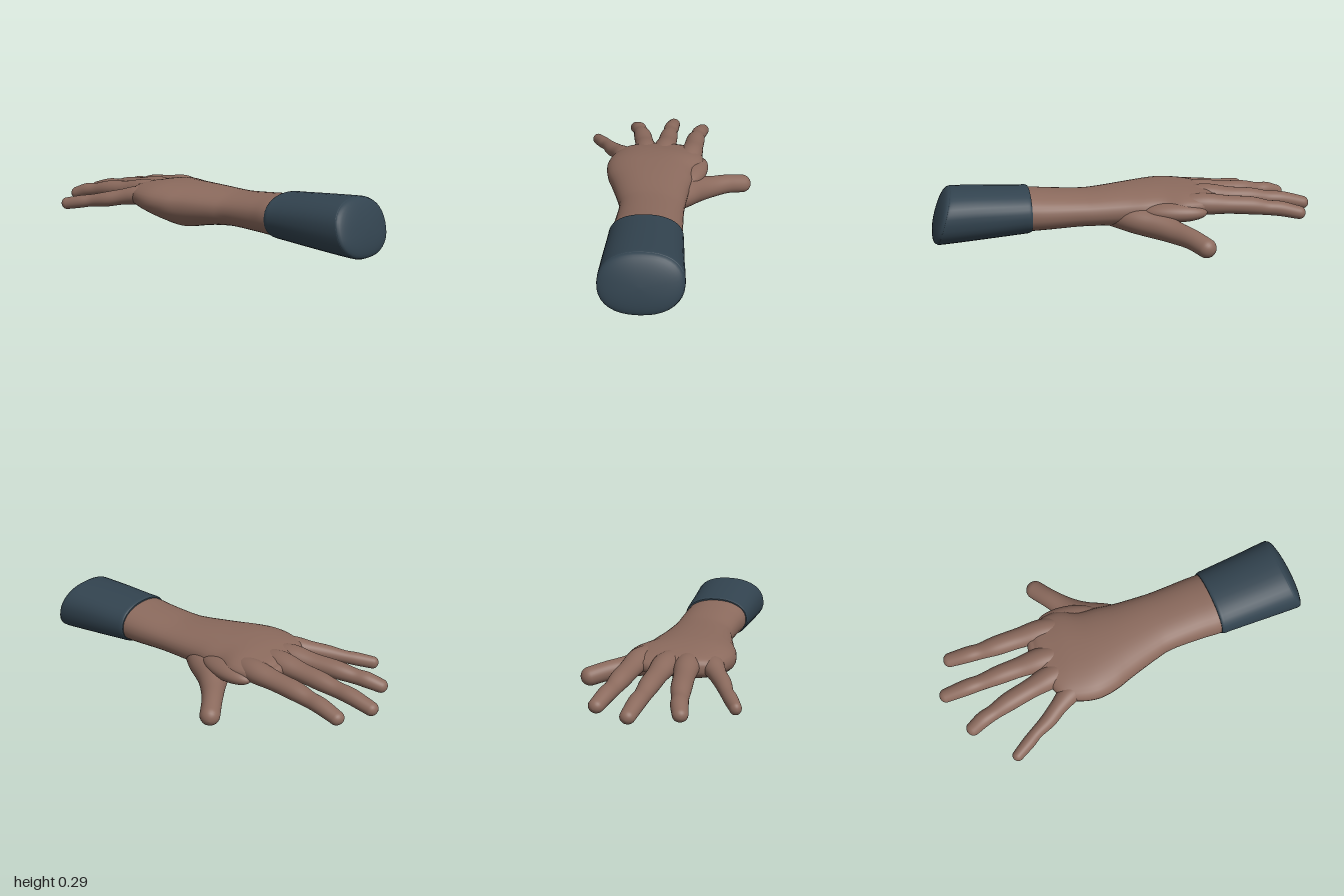
import * as THREE from 'three';

const SIDES = 36;

// Skin a list of rings; end caps use their own vertices so edges stay crisp
function skin(rings) {
  const pos = [], idx = [];
  const add = (p) => pos.push(p.x, p.y, p.z) / 3 - 1;
  rings.forEach((r) => r.forEach(add));
  for (let i = 0; i < rings.length - 1; i++) {
    for (let j = 0; j < SIDES; j++) {
      const k = (j + 1) % SIDES;
      const a = i * SIDES + j, b = i * SIDES + k;
      idx.push(a, b, a + SIDES, b, b + SIDES, a + SIDES);
    }
  }
  [rings[0], rings[rings.length - 1]].forEach((ring, end) => {
    const mid = new THREE.Vector3();
    ring.forEach((p) => mid.addScaledVector(p, 1 / SIDES));
    const c = add(mid), first = c + 1;
    ring.forEach(add);
    for (let j = 0; j < SIDES; j++) {
      const a = first + j, b = first + (j + 1) % SIDES;
      if (end) idx.push(c, a, b); else idx.push(c, b, a);
    }
  });
  const g = new THREE.BufferGeometry();
  g.setAttribute('position', new THREE.Float32BufferAttribute(pos, 3));
  g.setIndex(idx);
  g.computeVertexNormals();
  return g;
}

// Smooth rings through sections [x, y, z, half width, half height, squareness]
function loftRings(sections, { fixed = null, tip = false } = {}) {
  const spline = (pick) => new THREE.CatmullRomCurve3(sections.map(pick), false, 'catmullrom', 0.5);
  const path = spline((s) => new THREE.Vector3(s[0], s[1], s[2]));
  const size = spline((s) => new THREE.Vector3(s[3], s[4], s[5] ?? 2));
  const rings = [];
  const ring = (c, t, r, scale = 1) => {
    const side = new THREE.Vector3(0, 1, 0).cross(t).normalize();
    const up = t.clone().cross(side);
    const out = [];
    for (let j = 0; j < SIDES; j++) {
      const a = (j / SIDES) * Math.PI * 2;
      const ca = Math.cos(a), sa = Math.sin(a);
      const u = Math.sign(ca) * Math.abs(ca) ** (2 / r.z) * r.x * scale;
      const v = Math.sign(sa) * Math.abs(sa) ** (2 / r.z) * r.y * scale;
      out.push(c.clone().addScaledVector(side, u).addScaledVector(up, v));
    }
    rings.push(out);
  };
  const n = (sections.length - 1) * 6;
  for (let i = 0; i <= n; i++) {
    ring(path.getPoint(i / n), fixed || path.getTangent(i / n), size.getPoint(i / n));
  }
  // Rounded end
  if (tip) {
    const c = path.getPoint(1), t = fixed || path.getTangent(1), r = size.getPoint(1);
    for (let i = 1; i <= 7; i++) {
      const a = (i / 7) * 1.53;
      ring(c.clone().addScaledVector(t, Math.sin(a) * Math.min(r.x, r.y)), t, r, Math.cos(a));
    }
  }
  return rings;
}

export function createModel() {
  const skinTone = new THREE.MeshStandardMaterial({ color: 0x8b6a5d });
  skinTone.name = 'skin';
  const cloth = new THREE.MeshStandardMaterial({ color: 0x32434f });
  cloth.name = 'sleeveCloth';
  const group = new THREE.Group();
  group.name = 'handAndSleeve';
  const part = (name, geometry, material) => {
    const m = new THREE.Mesh(geometry, material);
    m.name = name;
    group.add(m);
    return m;
  };

  // Forearm, wrist and palm in one smooth body
  const body = loftRings([
    [0.10, 0.157, 0.60, 0.165, 0.102, 2.2],
    [0.088, 0.158, 0.50, 0.172, 0.105, 2.2],
    [0.08, 0.156, 0.40, 0.170, 0.099, 2.2],
    [0.058, 0.154, 0.24, 0.167, 0.090, 2.2],
    [0.038, 0.153, 0.15, 0.177, 0.091, 2.2],
    [0.0, 0.155, 0.0, 0.205, 0.098, 2.2],
    [-0.025, 0.161, -0.10, 0.230, 0.096, 2.2],
    [-0.04, 0.166, -0.20, 0.242, 0.092, 2.3],
    [-0.022, 0.172, -0.30, 0.252, 0.080, 2.4],
    [-0.012, 0.176, -0.38, 0.228, 0.064, 2.6],
    [0.018, 0.180, -0.435, 0.170, 0.049, 2.6],
    [0.03, 0.180, -0.465, 0.130, 0.034, 2.4],
  ], { fixed: new THREE.Vector3(0, 0, -1), tip: true });
  // Fleshy heel of the palm below the little finger
  body.forEach((r) => r.forEach((p) => {
    const under = THREE.MathUtils.clamp((0.16 - p.y) / 0.09, 0, 1);
    p.y -= 0.032 * under * Math.exp(-(((p.x + 0.12) / 0.12) ** 2) - ((p.z + 0.09) / 0.14) ** 2);
  }));
  part('forearmAndPalm', skin(body), skinTone);

  // Web of flesh between thumb and forefinger
  const web = part('thumbWeb', new THREE.SphereGeometry(1, 32, 20), skinTone);
  web.scale.set(0.072, 0.05, 0.17);
  web.position.set(0.185, 0.157, -0.25);
  web.rotation.y = -0.08;

  // Fingers start as knuckles inside the palm
  const fingers = {
    littleFinger: [
      [-0.16, 0.175, -0.23, 0.050, 0.040], [-0.217, 0.176, -0.335, 0.057, 0.049],
      [-0.272, 0.163, -0.41, 0.045, 0.042], [-0.325, 0.148, -0.475, 0.041, 0.040],
      [-0.372, 0.136, -0.55, 0.033, 0.033], [-0.41, 0.127, -0.60, 0.034, 0.034],
      [-0.460, 0.113, -0.668, 0.029, 0.032]],
    ringFinger: [
      [-0.07, 0.183, -0.28, 0.052, 0.042], [-0.112, 0.187, -0.41, 0.064, 0.055],
      [-0.148, 0.176, -0.53, 0.053, 0.046], [-0.187, 0.166, -0.655, 0.050, 0.045],
      [-0.218, 0.152, -0.74, 0.041, 0.038], [-0.240, 0.145, -0.80, 0.042, 0.039],
      [-0.270, 0.125, -0.862, 0.037, 0.034]],
    middleFinger: [
      [-0.005, 0.183, -0.28, 0.052, 0.044], [-0.011, 0.190, -0.43, 0.066, 0.056],
      [-0.022, 0.179, -0.56, 0.054, 0.046], [-0.034, 0.168, -0.675, 0.050, 0.046],
      [-0.045, 0.154, -0.77, 0.042, 0.039], [-0.052, 0.147, -0.85, 0.043, 0.039],
      [-0.061, 0.122, -0.964, 0.037, 0.034]],
    indexFinger: [
      [0.13, 0.180, -0.26, 0.055, 0.045], [0.142, 0.186, -0.40, 0.064, 0.056],
      [0.136, 0.178, -0.53, 0.055, 0.047], [0.127, 0.168, -0.655, 0.052, 0.046],
      [0.123, 0.154, -0.74, 0.043, 0.039], [0.123, 0.147, -0.81, 0.043, 0.039],
      [0.125, 0.125, -0.908, 0.038, 0.034]],
    thumb: [
      [0.08, 0.125, 0.08, 0.070, 0.060], [0.14, 0.114, -0.05, 0.092, 0.074],
      [0.198, 0.097, -0.16, 0.083, 0.073], [0.278, 0.080, -0.245, 0.061, 0.058],
      [0.36, 0.070, -0.322, 0.051, 0.051], [0.436, 0.050, -0.386, 0.050, 0.049]],
  };
  for (const [name, sections] of Object.entries(fingers)) {
    part(name, skin(loftRings(sections, { tip: true })), skinTone);
  }

  // Sleeve tube, its far edge slanting back toward the top
  const axis = new THREE.Vector3(0.15, 0, 1).normalize();
  const rings = loftRings([
    [0.088, 0.160, 0.49, 0.176, 0.110, 2.2],
    [0.090, 0.160, 0.505, 0.181, 0.116, 2.2],
    [0.098, 0.159, 0.55, 0.183, 0.119, 2.2],
    [0.128, 0.157, 0.74, 0.191, 0.131, 2.3],
    [0.155, 0.155, 0.90, 0.199, 0.140, 2.3],
    [0.157, 0.155, 0.925, 0.196, 0.137, 2.3],
  ], { fixed: axis });
  rings.forEach((r) => r.forEach((p) => {
    const w = THREE.MathUtils.clamp((p.z - 0.5) / 0.4, 0, 1);
    p.z += 0.3 * w * (0.155 - p.y);
  }));
  part('sleeve', skin(rings), cloth);

  // Domed sleeve end
  const rim = rings[rings.length - 1];
  const centre = new THREE.Vector3();
  rim.forEach((p) => centre.addScaledVector(p, 1 / SIDES));
  const dome = [];
  for (let i = 0; i <= 10; i++) {
    const a = (i / 10) * 1.54;
    dome.push(rim.map((p) => centre.clone().lerp(p, Math.cos(a)).addScaledVector(axis, 0.04 * Math.sin(a))));
  }
  part('sleeveEnd', skin(dome), cloth);

  return group;
}
